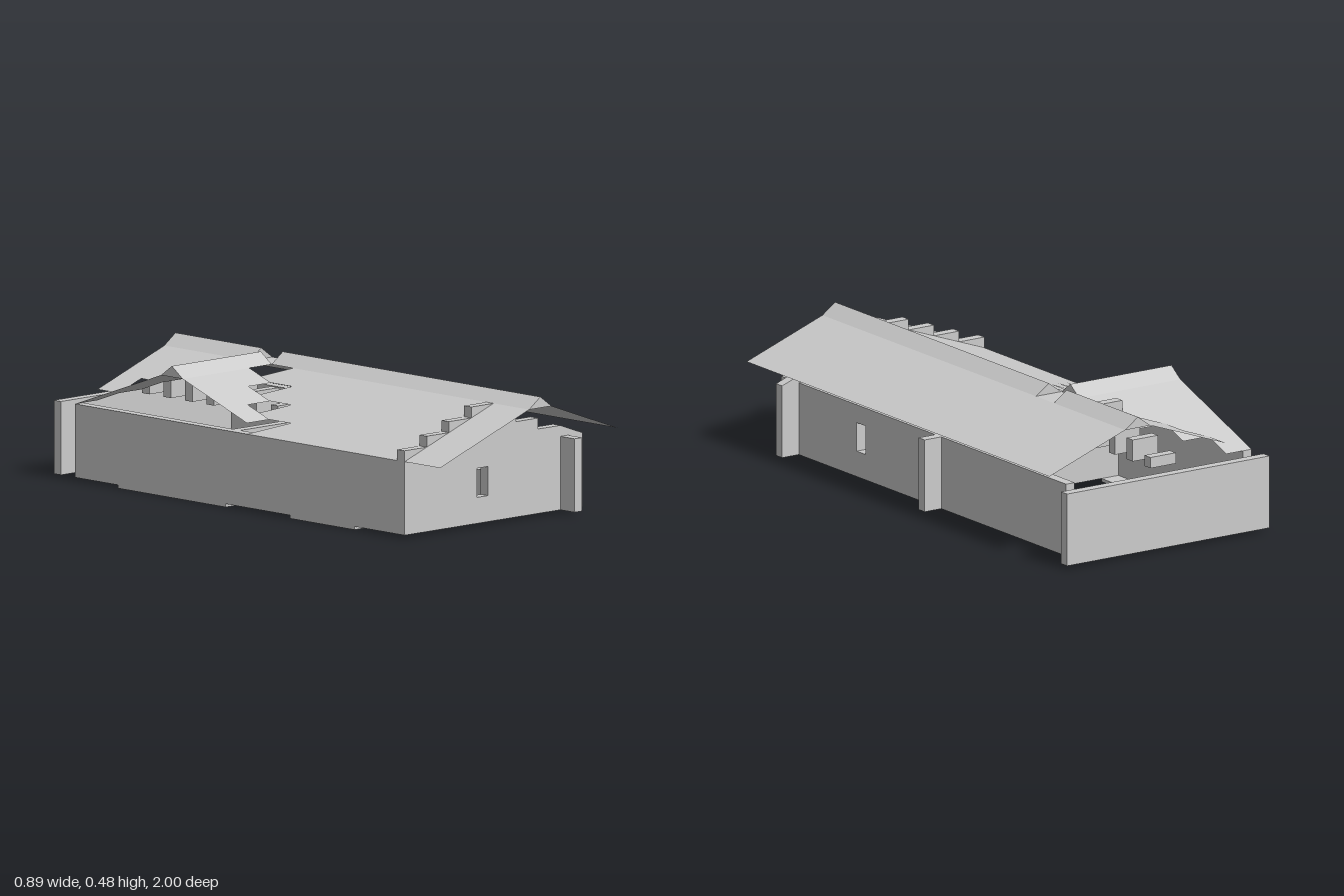
import * as THREE from 'three';

const U = 1 / 9;          // plan grid cell
const T = 0.038;          // wall thickness
const BASE = 0.012;       // top of floor slabs, foot of walls
const EAVE = 0.28;        // wall height
const RISE = 0.04;        // roof rise per cell

const mat = new THREE.MeshStandardMaterial({ color: 0xcccccc, flatShading: true });
const thin = new THREE.MeshStandardMaterial({ color: 0xcccccc, flatShading: true, side: THREE.DoubleSide });

export function createModel() {
  const model = new THREE.Group();

  function add(name, geometry, material = mat) {
    const mesh = new THREE.Mesh(geometry, material);
    mesh.name = name;
    model.add(mesh);
    return mesh;
  }

  // box given by its two extreme corners
  function box(name, x0, x1, y0, y1, z0, z1) {
    const g = new THREE.BoxGeometry(x1 - x0, y1 - y0, z1 - z0);
    g.translate((x0 + x1) / 2, (y0 + y1) / 2, (z0 + z1) / 2);
    add(name, g);
  }

  // thin polygon, fanned from its first corner
  function sheet(name, corners) {
    const pos = [];
    for (let i = 1; i < corners.length - 1; i++) pos.push(...corners[0], ...corners[i], ...corners[i + 1]);
    const g = new THREE.BufferGeometry();
    g.setAttribute('position', new THREE.Float32BufferAttribute(pos, 3));
    g.computeVertexNormals();
    add(name, g, thin);
  }

  function outline(points) {
    return new THREE.Shape(points.map(([a, b]) => new THREE.Vector2(a, b)));
  }

  // window hole centred on a
  function cutWindow(shape, a) {
    shape.holes.push(new THREE.Path([
      new THREE.Vector2(a - U / 4, 0.107), new THREE.Vector2(a - U / 4, 0.213),
      new THREE.Vector2(a + U / 4, 0.213), new THREE.Vector2(a + U / 4, 0.107)]));
  }

  // stepped gable heights over eight cells
  const stepTop = i => EAVE + RISE * (i < 4 ? i + 1 : 7 - i);

  // front wall with stepped gable and window
  const front = [[4 * U, BASE], [4 * U, EAVE]];
  for (let i = 6; i >= 0; i--) {
    const x0 = (i - 4) * U;
    front.push([x0 + U, stepTop(i)], [x0, stepTop(i)]);
  }
  front.push([-4 * U, BASE]);
  const frontShape = outline(front);
  cutWindow(frontShape, -U / 2);
  const frontWall = new THREE.ExtrudeGeometry(frontShape, { depth: T, bevelEnabled: false });
  add('frontWall', frontWall).position.z = 7 * U;

  // long wall on the +x side with window (drawn in -z, height)
  const sideShape = outline([[-8 * U, BASE], [8 * U, BASE], [8 * U, EAVE], [-8 * U, EAVE]]);
  cutWindow(sideShape, -3.5 * U);
  const sideWall = new THREE.ExtrudeGeometry(sideShape, { depth: T, bevelEnabled: false });
  sideWall.rotateY(Math.PI / 2);
  add('leftWall', sideWall).position.x = 3 * U;

  // remaining walls
  box('rightWall', -4 * U, -4 * U + T, BASE, EAVE, -8 * U, 7 * U);
  box('partitionWall', -4 * U, 4 * U, BASE, EAVE, -U, -U + T);
  box('backWall', -4 * U, 4 * U, BASE, EAVE, -9 * U, -9 * U + T);

  // stepped posts carrying the cross roof
  for (let i = 0; i < 7; i++) {
    const z = (i - 8) * U;
    box('roofPost', -U, 0, EAVE, stepTop(i), z, z + T);
  }

  // floor slabs in grid cells: x0, x1, z0, z1
  for (const [x0, x1, z0, z1] of [
    [-3, 1, 1, 6], [-4, -3, 2, 5], [2, 3, 1, 5], [-1, 3, -7, -1], [-4, -3, -6, -1]]) {
    box('floorSlab', x0 * U, x1 * U, 0, BASE, z0 * U, z1 * U);
  }

  // +x slope of the main roof
  const top = EAVE + 4 * RISE;
  sheet('mainRoofLeftSlope', [
    [U, top, 9 * U], [4 * U, top - 3 * RISE, 9 * U],
    [4 * U, top - 3 * RISE, -8 * U], [U, top, -8 * U]]);

  // the other slopes, one grid column at a time, stepping along the valleys
  for (let i = 0; i < 4; i++) {
    const x0 = (i - 4) * U, x1 = x0 + U;
    const y0 = EAVE + i * RISE, y1 = y0 + RISE;
    const mainStrip = (z0, z1) => sheet('mainRoofRightSlope',
      [[x0, y0, z1], [x1, y1, z1], [x1, y1, z0], [x0, y0, z0]]);
    mainStrip((1 - i) * U, 9 * U);
    if (i > 0) mainStrip(-8 * U, (i - 8) * U);

    // cross roof, back and front
    sheet('crossRoofBackSlope', [
      [x0, y0, (i - 8) * U], [x0, top, -4 * U], [x1, top, -4 * U], [x1, y0, (i - 8) * U]]);
    if (i < 3) {
      sheet('crossRoofFrontSlope', [
        [x0, y1, -i * U], [x1, y1, -i * U], [x1, top, -3 * U], [x0, top, -3 * U]]);
    }

    // valley tile with one raised corner
    const zb = -i * U, zf = zb + U;
    const peak = [x1, y1, zf], foot = [x0, y0, zb];
    sheet('valleyTile', [foot, [x0, y0, zf], peak]);
    sheet('valleyTile', [foot, peak, [x1, y0, zb]]);
  }

  // ridge caps
  const ridgeShape = outline([[0, 0], [U, 0], [U / 2, RISE]]);
  const ridge = length => new THREE.ExtrudeGeometry(ridgeShape, { depth: length, bevelEnabled: false });
  add('mainRidgeFront', ridge(12 * U)).position.set(0, top, -3 * U);
  add('mainRidgeBack', ridge(4 * U)).position.set(0, top, -8 * U);
  const cross = add('crossRidge', ridge(4 * U).rotateY(Math.PI / 2));
  cross.position.set(-4 * U, top, -3 * U);

  // flat junction between the ridges
  sheet('ridgeJunction', [[0, top, -3 * U], [U, top, -3 * U], [U, top, -4 * U], [0, top, -4 * U]]);

  return model;
}
